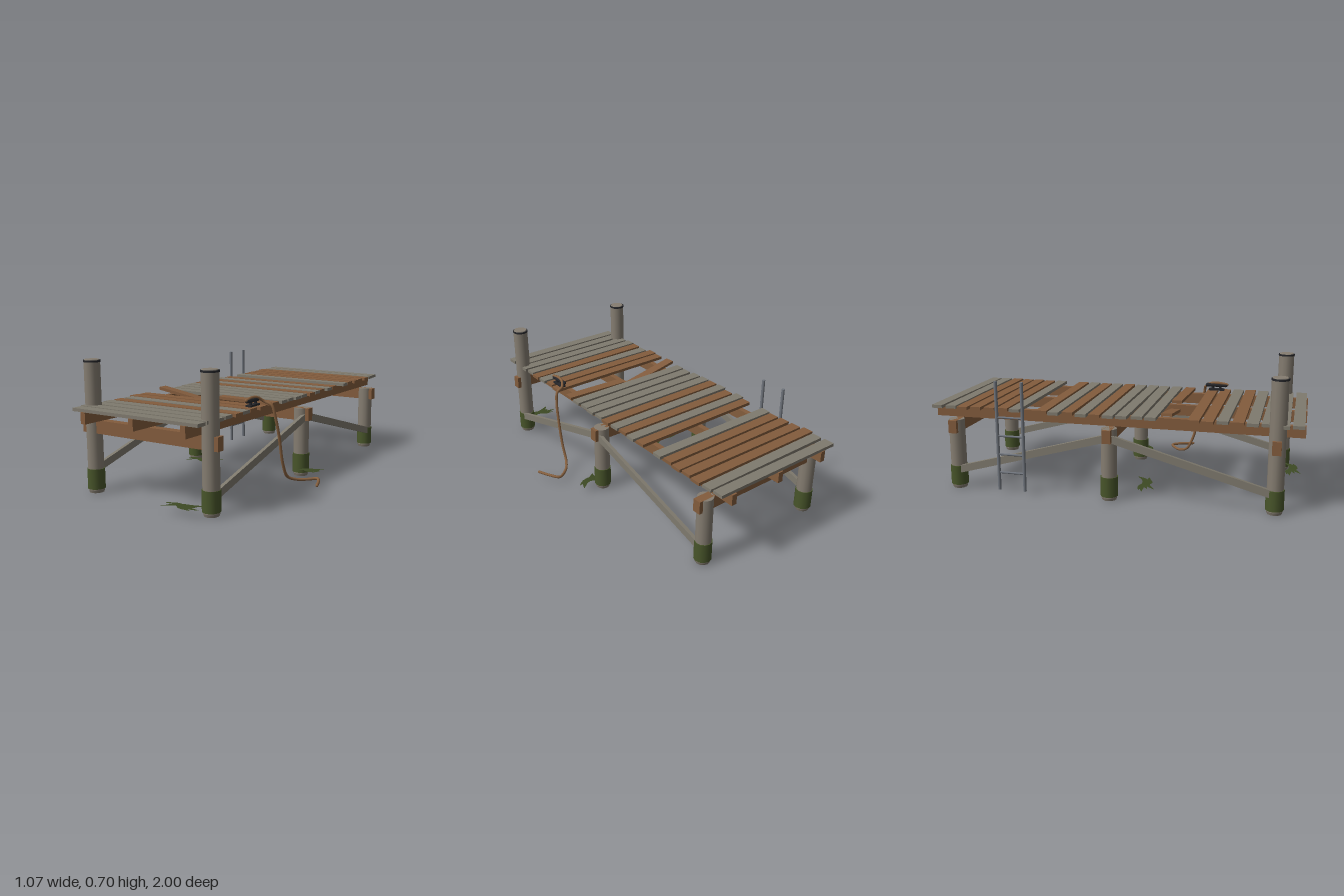
import * as THREE from 'three';

const mat = (name, color, side = THREE.FrontSide) => {
  const m = new THREE.MeshStandardMaterial({ color, side });
  m.name = name;
  return m;
};

export function createModel() {
  const M = {
    post: mat('post wood', 0x857d71),
    grey: mat('weathered wood', 0x7f7a6e),
    brown: mat('brown wood', 0x835c3d),
    algae: mat('algae', 0x48552a),
    weed: mat('seaweed', 0x3d4a24, THREE.DoubleSide),
    iron: mat('black iron', 0x26272b),
    steel: mat('ladder steel', 0x70757d),
    rope: mat('rope', 0x86603f),
  };
  const model = new THREE.Group();
  model.name = 'dock';

  const add = (name, geo, material, x = 0, y = 0, z = 0, parent = model) => {
    const mesh = new THREE.Mesh(geo, material);
    mesh.name = name;
    mesh.position.set(x, y, z);
    parent.add(mesh);
    return mesh;
  };
  const box = (name, m, w, h, d, x, y, z, parent) =>
    add(name, new THREE.BoxGeometry(w, h, d), m, x, y, z, parent);
  const rod = (name, m, r, len, x, y, z, parent) =>
    add(name, new THREE.CylinderGeometry(r, r, len, 12), m, x, y, z, parent);

  const MID = -0.105;             // centre line of the deck
  const ROWS = [0.865, 0, -0.865]; // post rows
  const SIDES = [-1, 1];

  // Posts with algae sleeves; the front pair rises above the deck
  for (const z of ROWS) {
    for (const s of SIDES) {
      const post = new THREE.Group();
      post.name = 'post';
      post.position.set(MID + s * 0.373, 0, z);
      model.add(post);
      const tall = z > 0.5;
      const top = tall ? 0.69 : 0.39;
      rod('postShaft', M.post, 0.043, top - 0.015, 0, (top + 0.015) / 2, 0, post);
      add('postFoot', new THREE.CylinderGeometry(0.043, 0.038, 0.015, 12), M.post, 0, 0.0075, 0, post);
      rod('algaeSleeve', M.algae, 0.047, 0.108, 0, 0.075, 0, post);
      if (tall) {
        rod('postBand', M.iron, 0.0455, 0.01, 0, 0.692, 0, post);
        add('postTop', new THREE.CylinderGeometry(0.038, 0.042, 0.006, 12), M.post, 0, 0.698, 0, post);
      }
    }
    box('crossBeam', M.brown, 0.86, 0.07, 0.046, MID, 0.355, z);
  }

  // Joists under the planks
  for (const dx of [-0.315, 0, 0.315]) box('joist', M.brown, 0.03, 0.06, 2, MID + dx, 0.42, 0);

  // Diagonal braces on both sides
  const braceLen = Math.hypot(0.85, 0.235);
  for (const s of SIDES) {
    for (const e of SIDES) {
      const brace = box('brace', M.grey, 0.02, 0.04, braceLen, MID + s * 0.4, 0.228, e * 0.42);
      brace.rotation.x = e * Math.atan2(0.235, 0.85);
    }
  }

  // Deck planks: g = weathered, b = brown, gaps left open, x = broken
  const pattern = 'ggbbbbg.bgbgbggggx.bbgbgggg';
  const leftEnds = [-0.505, -0.5, -0.515, -0.5, -0.498, -0.49, -0.5, 0, -0.495, -0.515, -0.495, -0.515, -0.51,
    -0.512, -0.507, -0.495, -0.5, 0, 0, -0.505, -0.515, -0.49, -0.495, -0.5, -0.49, -0.512, -0.495];
  [...pattern].forEach((c, i) => {
    const z = -0.963 + i * 0.0741;
    if (c === 'g' || c === 'b') {
      const right = 0.29 + ((i * 7) % 5 - 2) * 0.003;
      const plank = box('plank', c === 'g' ? M.grey : M.brown, right - leftEnds[i], 0.017, 0.059,
        (right + leftEnds[i]) / 2, 0.4575, z);
      plank.rotation.y = ((i * 5) % 7 - 3) * 0.0025;
    } else if (c === 'x') {
      const a = box('brokenPlankLeft', M.brown, 0.365, 0.016, 0.057, -0.305, 0.45, z);
      a.rotation.set(0, 0.05, -0.17);
      const b = box('brokenPlankRight', M.brown, 0.37, 0.016, 0.057, 0.1, 0.458, z);
      b.rotation.y = -0.05;
    }
  });

  // Ladder on the side
  const ladder = new THREE.Group();
  ladder.name = 'ladder';
  ladder.position.set(-0.528, 0, -0.532);
  model.add(ladder);
  for (const s of SIDES) rod('ladderRail', M.steel, 0.009, 0.6, 0, 0.32, s * 0.073, ladder);
  for (let i = 0; i < 4; i++) {
    rod('ladderRung', M.steel, 0.006, 0.146, 0, 0.118 + i * 0.102, 0, ladder).rotation.x = Math.PI / 2;
  }

  // Mooring cleat
  const cleat = new THREE.Group();
  cleat.name = 'cleat';
  cleat.position.set(0.245, 0.466, 0.467);
  model.add(cleat);
  box('cleatBase', M.iron, 0.03, 0.01, 0.09, 0, 0.005, 0, cleat);
  for (const s of SIDES) rod('cleatStub', M.iron, 0.008, 0.026, 0, 0.018, s * 0.022, cleat);
  add('cleatHorn', new THREE.CapsuleGeometry(0.011, 0.11, 4, 10), M.iron, 0, 0.031, 0, cleat)
    .rotation.x = Math.PI / 2;

  // Rope from the cleat down over the edge
  const ropePoints = [
    [0.245, 0.502, 0.53], [0.243, 0.51, 0.48], [0.25, 0.505, 0.43], [0.27, 0.483, 0.4], [0.31, 0.465, 0.39],
    [0.325, 0.4, 0.378], [0.333, 0.3, 0.355], [0.336, 0.14, 0.318], [0.342, 0.065, 0.28], [0.37, 0.043, 0.235],
    [0.42, 0.04, 0.19], [0.46, 0.045, 0.168], [0.495, 0.047, 0.215], [0.525, 0.045, 0.29],
  ].map((p) => new THREE.Vector3(...p));
  add('rope', new THREE.TubeGeometry(new THREE.CatmullRomCurve3(ropePoints), 90, 0.008, 8), M.rope);
  for (const p of [ropePoints[0], ropePoints[ropePoints.length - 1]]) {
    add('ropeEnd', new THREE.SphereGeometry(0.008, 8, 6), M.rope, p.x, p.y, p.z);
  }

  // Seaweed clumps: fanned, slightly arched blades
  const blade = (len, width) => {
    const g = new THREE.PlaneGeometry(len, width, 8, 1).rotateX(-Math.PI / 2);
    const p = g.attributes.position;
    for (let i = 0; i < p.count; i++) {
      const t = p.getX(i) / len * 2;
      p.setZ(i, p.getZ(i) * (1.05 - t * t) + 0.008 * Math.sin(t * 4));
      p.setY(i, 0.005 * (1 - t * t));
    }
    g.computeVertexNormals();
    return g;
  };
  for (const [x, z, len, turn] of [[-0.315, 0.16, 0.23, 0.1], [0.14, 0.93, 0.22, 0], [0.335, 0.035, 0.16, 0.15]]) {
    const clump = new THREE.Group();
    clump.name = 'seaweed';
    clump.position.set(x, 0.04, z);
    clump.rotation.y = turn;
    model.add(clump);
    [-0.4, -0.12, 0.15, 0.45].forEach((a, i) => {
      add('seaweedBlade', blade(len * (i % 2 ? 1 : 0.75), 0.034), M.weed, (i - 1.5) * 0.008, i * 0.002 - 0.002, 0, clump)
        .rotation.y = a;
    });
  }

  return model;
}
